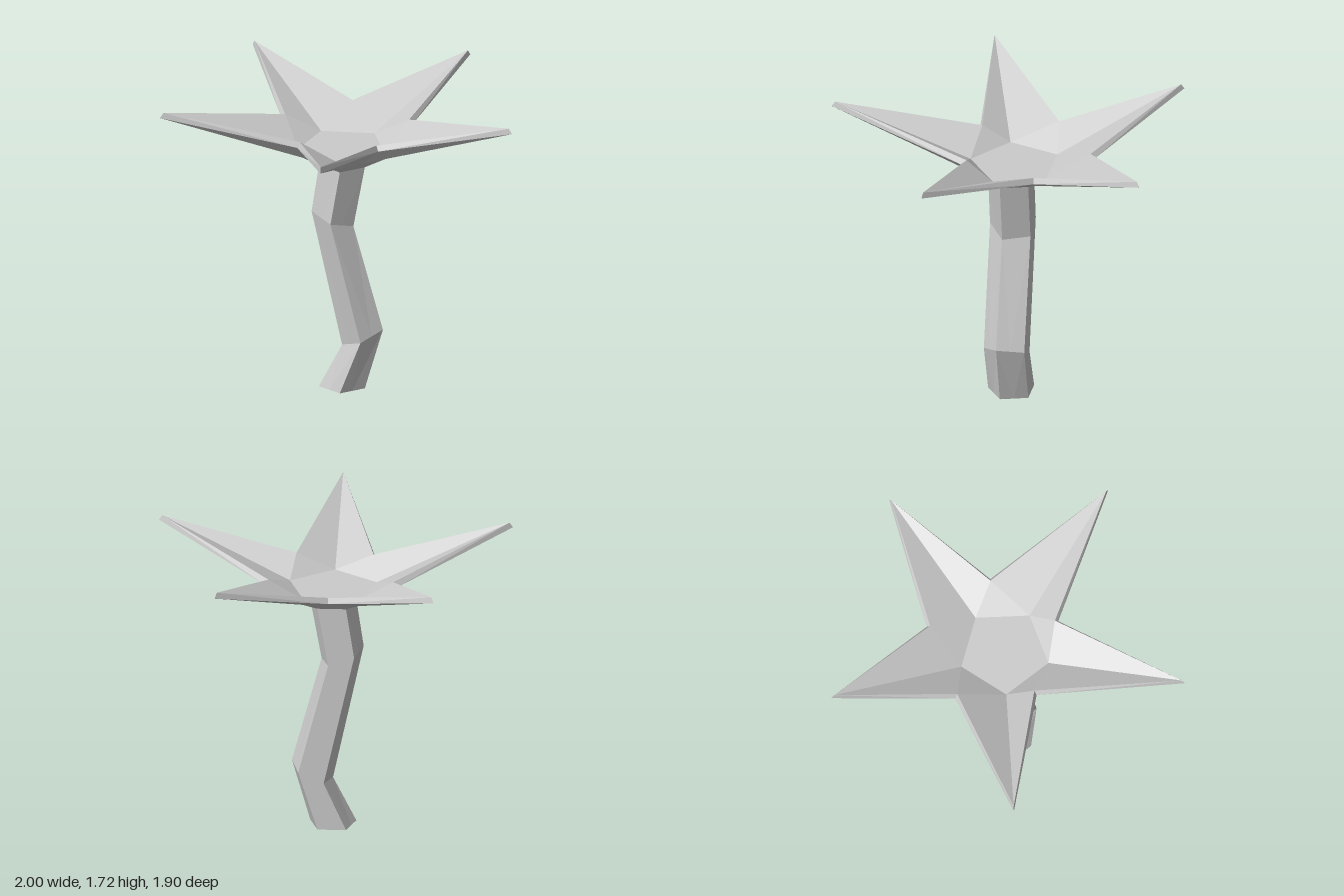
import * as THREE from 'three';

const SIDES = 10; // even slots are the five points, odd slots the notches between them

// Ring of ten points: tip radius rt about z = zt, notch radius rn about z = zn
function ring(y, rt, zt, rn = rt * Math.cos(Math.PI / 5), zn = zt) {
  return Array.from({ length: SIDES }, (_, k) => {
    const a = Math.PI / 2 + (k * Math.PI) / 5;
    const [r, z] = k % 2 ? [rn, zn] : [rt, zt];
    return new THREE.Vector3(r * Math.cos(a), y, z + r * Math.sin(a));
  });
}

// Pentagonal trunk ring, moved sideways and tilted along x
function trunkRing(x, y, width, tilt, r = 0.137) {
  return ring(y, r, -0.087).map((p) => {
    const dx = p.x * width;
    return new THREE.Vector3(x + dx, y + dx * tilt, p.z);
  });
}

// Skin through the rings, diagonals mirrored about each point
function loft(name, rings, material) {
  const pos = [];
  const tri = (...pts) => {
    const area = pts[1].clone().sub(pts[0]).cross(pts[2].clone().sub(pts[0])).length();
    if (area > 1e-7) pts.forEach((p) => pos.push(p.x, p.y, p.z));
  };
  for (let i = 0; i < rings.length - 1; i++) {
    const a = rings[i], b = rings[i + 1];
    for (let k = 0; k < SIDES; k++) {
      const n = (k + 1) % SIDES;
      if (k % 2 === 0) {
        tri(a[k], a[n], b[n]);
        tri(a[k], b[n], b[k]);
      } else {
        tri(a[k], a[n], b[k]);
        tri(a[n], b[n], b[k]);
      }
    }
  }
  const geometry = new THREE.BufferGeometry();
  geometry.setAttribute('position', new THREE.Float32BufferAttribute(pos, 3));
  geometry.computeVertexNormals();
  const mesh = new THREE.Mesh(geometry, material);
  mesh.name = name;
  return mesh;
}

export function createModel() {
  const group = new THREE.Group();
  group.name = 'starTree';
  const material = new THREE.MeshStandardMaterial({ color: 0xcccccc, flatShading: true });

  // Shallow star-shaped bowl with a thin rim, narrowing to the trunk
  group.add(loft('starCanopy', [
    ring(1.44, 0, -0.107),
    ring(1.44, 0.258, -0.107),
    ring(1.72, 1.03, -0.1, 0.37, -0.17).map((p, k) => (k % 2 ? p.setY(1.545) : p)),
    ring(1.69, 1.05, -0.1, 0.39, -0.17).map((p, k) => (k % 2 ? p.setY(1.515) : p)),
    ring(1.41, 0.27, -0.1),
    ring(1.34, 0.137, -0.087),
  ], material));

  // Zigzag trunk with mitred bends and a closed foot
  group.add(loft('trunk', [
    trunkRing(0, 1.34, 1, 0),
    trunkRing(-0.053, 1.02, 0.91, -0.34),
    trunkRing(0.117, 0.31, 0.89, 0.435),
    trunkRing(0, 0, 1, 0),
    trunkRing(0, 0, 1, 0, 0),
  ], material));

  return group;
}
